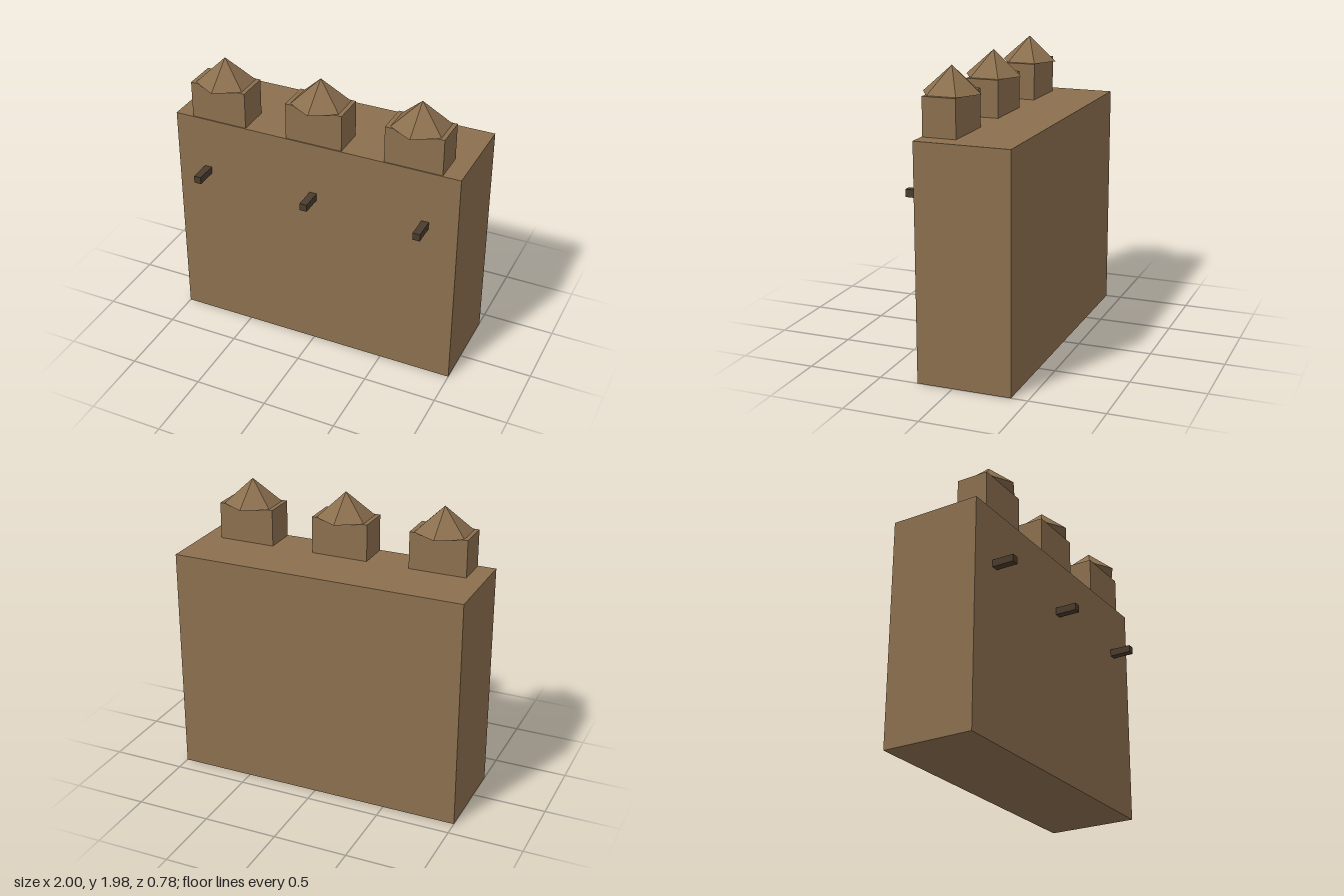
import * as THREE from 'three';

export function createModel() {
  const group = new THREE.Group();
  const mudBrick = new THREE.MeshStandardMaterial({ color: 0x8b6f4e, flatShading: true });
  mudBrick.name = 'mud brick';
  const darkWood = new THREE.MeshStandardMaterial({ color: 0x4a3b2c, flatShading: true });
  darkWood.name = 'dark wood';

  const add = (name, geometry, material, x, y, z) => {
    const mesh = new THREE.Mesh(geometry, material);
    mesh.name = name;
    mesh.position.set(x, y, z);
    group.add(mesh);
  };

  // Solid wall block
  add('wall', new THREE.BoxGeometry(2, 1.56, 0.63), mudBrick, 0, 0.78, -0.075);

  // Three parapet blocks along the front edge, each with a six-sided cap
  const block = new THREE.BoxGeometry(0.39, 0.25, 0.222);
  const cap = new THREE.ConeGeometry(0.195, 0.17, 6);
  // Wooden beams sticking out of the front
  const beam = new THREE.BoxGeometry(0.05, 0.05, 0.17);

  for (const side of [-1, 0, 1]) {
    add('parapetBlock', block, mudBrick, side * 0.682, 1.685, 0.122);
    add('parapetCap', cap, mudBrick, side * 0.682, 1.893, 0.118);
    add('beam', beam, darkWood, side * 0.78, 1.175, 0.305);
  }
  return group;
}
